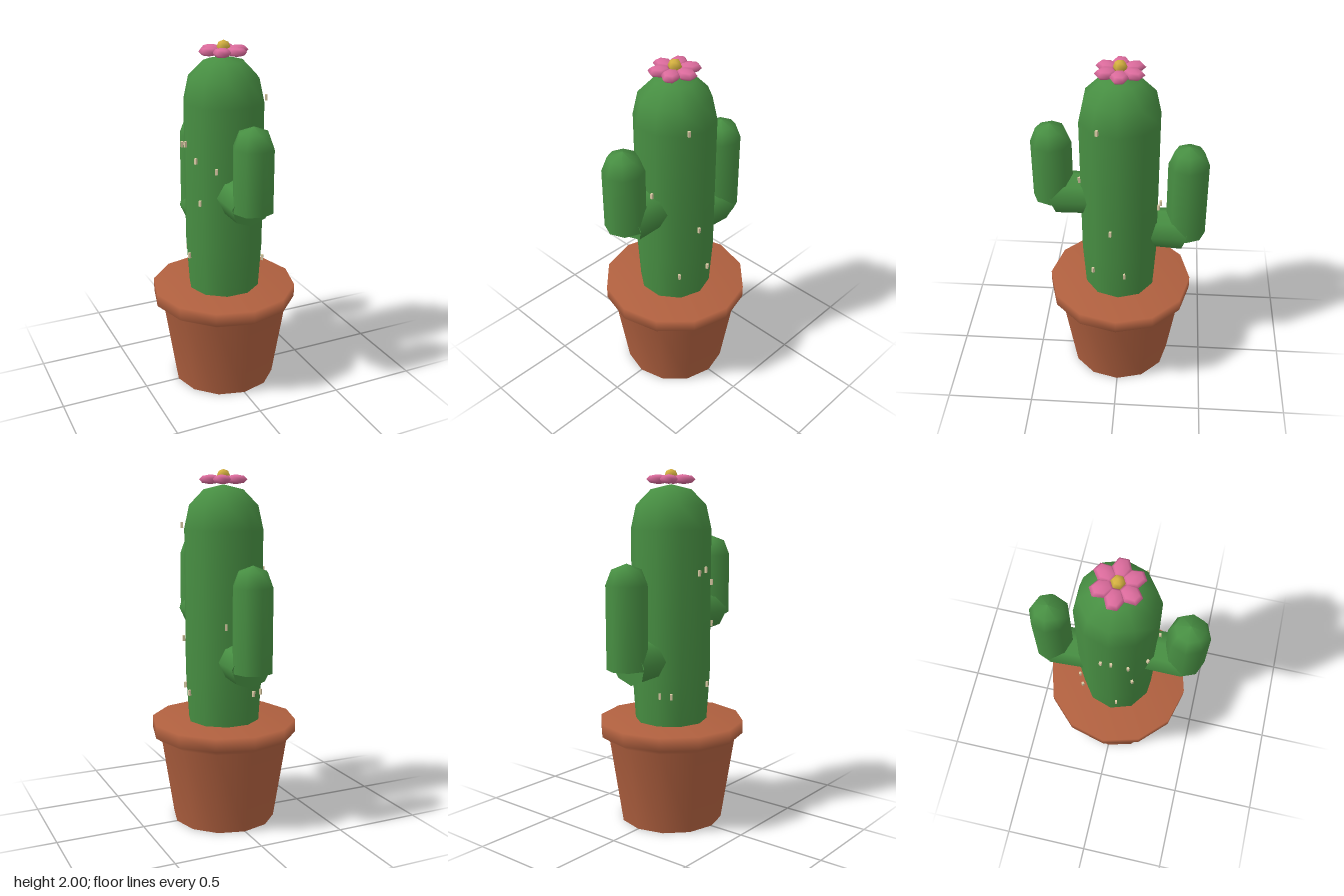
import * as THREE from 'three';

const mat = (name, color) => {
  const m = new THREE.MeshStandardMaterial({ color });
  m.name = name;
  return m;
};

export function createModel() {
  const green = mat('cactusGreen', 0x478e42);
  const clay = mat('terracotta', 0xb0603f);
  const pink = mat('petalPink', 0xdb6b9c);
  const gold = mat('flowerGold', 0xd4b040);
  const bone = mat('spineBeige', 0xd8c9a3);

  const model = new THREE.Group();
  model.name = 'pottedCactus';

  const add = (parent, name, geometry, material, x = 0, y = 0, z = 0) => {
    const mesh = new THREE.Mesh(geometry, material);
    mesh.name = name;
    mesh.position.set(x, y, z);
    parent.add(mesh);
    return mesh;
  };
  const lathe = (profile, sides, start = 0) =>
    new THREE.LatheGeometry(profile.map(([r, y]) => new THREE.Vector2(r, y)), sides, start);
  const underside = (radius, sides) => new THREE.CircleGeometry(radius, sides).rotateX(Math.PI / 2);

  // Pot: tapered wall, flared rim and closed top, with a flat base
  add(model, 'pot', lathe([[0.295, 0], [0.37, 0.485], [0.415, 0.515], [0.415, 0.59], [0, 0.59]], 12), clay);
  add(model, 'potBase', underside(0.295, 12), clay);

  // Main stem: ten sides with a rounded top
  const stem = [[0.203, 0.56], [0.222, 0.86], [0.224, 1.675], [0.195, 1.805], [0.112, 1.89], [0, 1.917]];
  add(model, 'stem', lathe(stem, 10, Math.PI / 2), green);

  // Arms: a horizontal elbow carrying an upright column
  const addArm = (name, bottom, shoulder, elbowY, innerRadius, turn) => {
    const arm = new THREE.Group();
    arm.name = name;
    arm.rotation.y = turn;
    model.add(arm);

    const column = [[0.112, bottom], [0.112, shoulder], [0.08, shoulder + 0.082], [0, shoulder + 0.113]];
    add(arm, name + 'Column', lathe(column, 8), green, 0, 0, 0.373);
    add(arm, name + 'ColumnBase', underside(0.112, 8), green, 0, bottom, 0.373);

    const elbow = new THREE.CylinderGeometry(0.12, innerRadius, 0.215, 8).rotateX(Math.PI / 2);
    const p = elbow.attributes.position;
    // slant the outer end of the elbow
    for (let i = 0; i < p.count; i++) {
      if (p.getZ(i) > 0) p.setZ(i, p.getZ(i) + 0.25 * p.getY(i));
    }
    add(arm, name + 'Elbow', elbow, green, 0, elbowY, 0.267);
  };
  addArm('frontArm', 1.165, 1.51, 1.187, 0.118, 0);
  addArm('backArm', 0.94, 1.395, 0.962, 0.11, Math.PI);

  // Flower: six flattened petals around a round centre
  const flower = new THREE.Group();
  flower.name = 'flower';
  flower.position.y = 1.944;
  model.add(flower);
  const petal = new THREE.SphereGeometry(1, 6, 4).rotateY(Math.PI / 6);
  petal.scale(0.063, 0.026, 0.05).translate(0.08, 0, 0);
  for (let i = 0; i < 6; i++) {
    add(flower, 'petal', petal, pink).rotation.y = (i * Math.PI) / 3;
  }
  add(flower, 'flowerCentre', new THREE.SphereGeometry(0.037, 6, 4).rotateY(Math.PI / 6), gold, 0, 0.019, 0);

  // Spines: small pegs on the stem, as x, y, z
  const spines = [
    [0.205, 1.695, 0.105], [0.226, 1.07, 0.04], [0.178, 0.77, 0.143], [0.225, 0.77, -0.037],
    [-0.232, 1.46, 0.015], [-0.23, 1.445, -0.04], [-0.208, 1.385, 0.1], [-0.195, 1.15, 0.122],
    [-0.228, 0.815, 0.04], [-0.148, 0.77, -0.18], [-0.09, 0.77, -0.21], [-0.127, 1.34, 0.19],
    [0.047, 1.3, 0.222], [0.04, 1.16, -0.228], [0.082, 1.16, -0.217],
  ];
  const peg = new THREE.BoxGeometry(0.013, 0.032, 0.013);
  for (const [x, y, z] of spines) {
    add(model, 'spine', peg, bone, x, y, z).rotation.y = Math.atan2(x, z);
  }

  return model;
}
